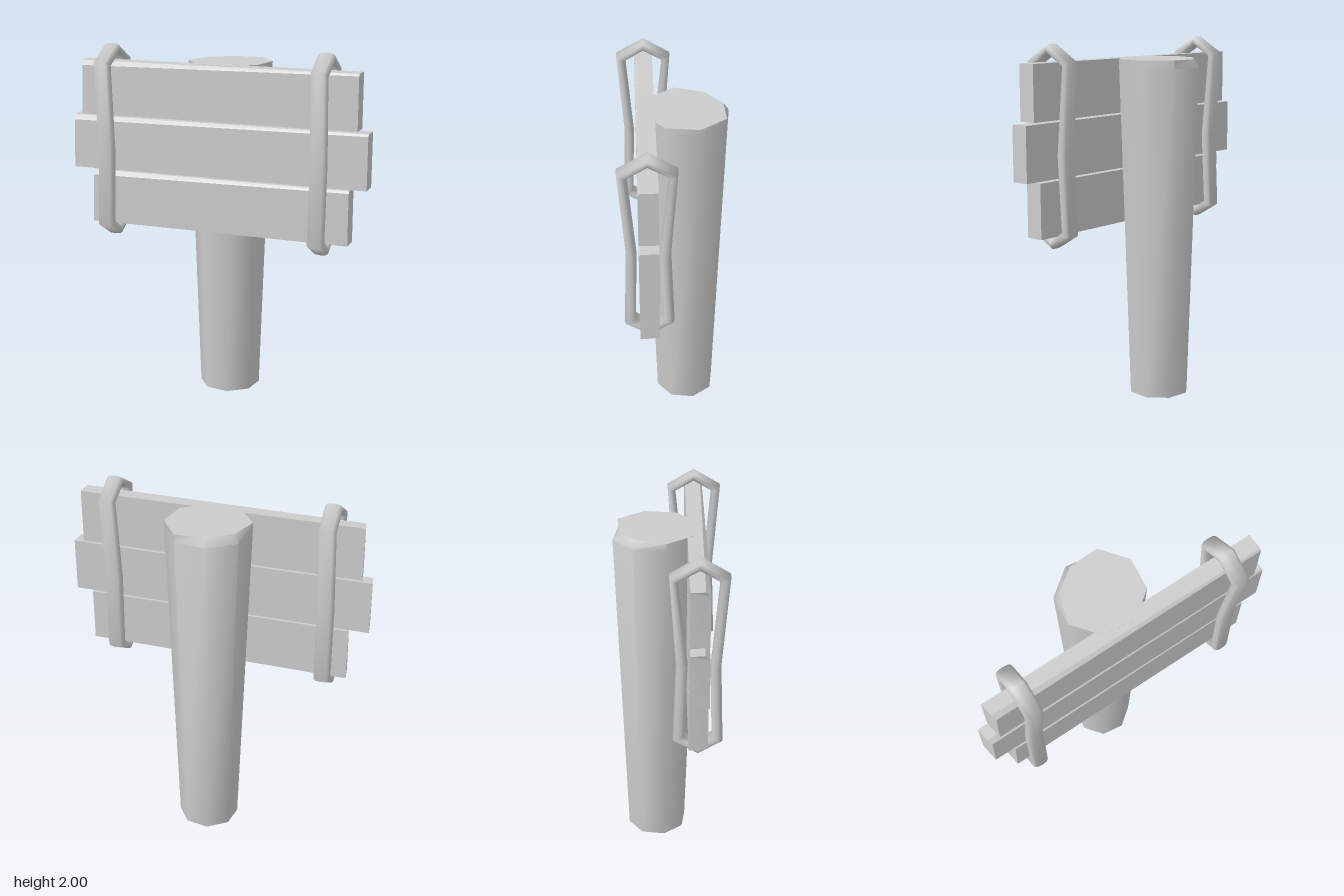
import * as THREE from 'three';
import { toCreasedNormals } from 'three/addons/utils/BufferGeometryUtils.js';

const grey = new THREE.MeshStandardMaterial({ color: 0xcccccc });
grey.name = 'plain grey';

function addMesh(group, geometry, name) {
  const mesh = new THREE.Mesh(geometry, grey);
  mesh.name = name;
  group.add(mesh);
  return mesh;
}

// Tapered eight-sided post with a worn edge at the top back corner
function postGeometry() {
  const height = 1.905, shoulder = 1.86;
  const geo = new THREE.CylinderGeometry(0.235, 0.172, height, 8, 2, false, 0.255);
  geo.translate(0, height / 2, 0);
  const p = geo.attributes.position;
  for (let i = 0; i < p.count; i++) {
    const x = p.getX(i), y = p.getY(i), z = p.getZ(i);
    if (Math.abs(y - height / 2) < 0.01) {
      const s = 0.2335 / 0.2035;
      p.setXYZ(i, x * s, shoulder, z * s);
    } else if (y > 1.9 && z < -0.08 && x < -0.03) {
      p.setXYZ(i, x * 0.86, y, z * 0.86);
    }
  }
  return toCreasedNormals(geo, 0.85);
}

// Board whose front top edge bevel widens towards one chipped end
function plankGeometry(length) {
  const h = 0.3;
  const shape = new THREE.Shape([
    [-0.1, 0], [-0.2, 0], [-0.2, h - 0.012], [-0.19, h], [-0.1, h],
  ].map(([x, y]) => new THREE.Vector2(x, y)));
  let geo = new THREE.ExtrudeGeometry(shape, { depth: length, bevelEnabled: false });
  geo.rotateY(Math.PI / 2);
  const p = geo.attributes.position;
  for (let i = 0; i < p.count; i++) {
    const x = p.getX(i), y = p.getY(i), z = p.getZ(i);
    if (x > 0.01 || z < 0.15) continue;
    if (y > h - 0.005) p.setXYZ(i, 0.012, y - 0.003, 0.175);
    else if (y > 0.2) p.setXYZ(i, 0.022, h - 0.028, z);
    else p.setX(i, 0.014);
  }
  geo.computeVertexNormals();
  return geo;
}

// Closed flattened strap swept between an outer and an inner outline, given as [z, y]
function strapGeometry() {
  const outer = [[0.15, 2], [0.303, 1.91], [0.265, 1.42], [0.28, 0.98],
    [0.15, 0.905], [0.018, 0.985], [0.035, 1.42], [0, 1.91]];
  const inner = [[0.15, 1.945], [0.25, 1.885], [0.21, 1.42], [0.222, 1.01],
    [0.15, 0.965], [0.075, 1.01], [0.095, 1.42], [0.045, 1.885]];
  const rings = outer.length, sides = 12, pos = [], index = [];
  const soft = (v) => Math.sign(v) * Math.abs(v) ** 0.7;
  for (let i = 0; i < rings; i++) {
    const [oz, oy] = outer[i], [iz, iy] = inner[i];
    for (let j = 0; j < sides; j++) {
      const a = (j / sides) * Math.PI * 2;
      const t = (1 + soft(Math.sin(a))) / 2;
      const y = iy + (oy - iy) * t;
      const lean = (y - 1.45) * 0.01;
      pos.push(0.048 * soft(Math.cos(a)) + lean, y, iz + (oz - iz) * t);
      const n = (i + 1) % rings, k = (j + 1) % sides;
      const A = i * sides + j, B = i * sides + k, C = n * sides + j, D = n * sides + k;
      index.push(A, B, C, B, D, C);
    }
  }
  const geo = new THREE.BufferGeometry();
  geo.setAttribute('position', new THREE.Float32BufferAttribute(pos, 3));
  geo.setIndex(index);
  geo.computeVertexNormals();
  return geo;
}

export function createModel() {
  const model = new THREE.Group();
  model.name = 'signpost';

  addMesh(model, postGeometry(), 'post').position.z = -0.068;

  // Three stacked boards: left end, right end, bottom height
  const boards = [
    ['topPlank', -0.802, 0.8, 1.605],
    ['middlePlank', -0.86, 0.858, 1.295],
    ['bottomPlank', -0.75, 0.763, 0.985],
  ];
  for (const [name, x0, x1, y] of boards) {
    addMesh(model, plankGeometry(x1 - x0), name).position.set(x0, y, 0);
  }

  // Straps binding the boards together
  const strap = strapGeometry();
  addMesh(model, strap, 'rightStrap').position.x = -0.622;
  const left = addMesh(model, strapGeometry().scale(1, 1, 1), 'leftStrap');
  left.position.x = 0.607;

  return model;
}
